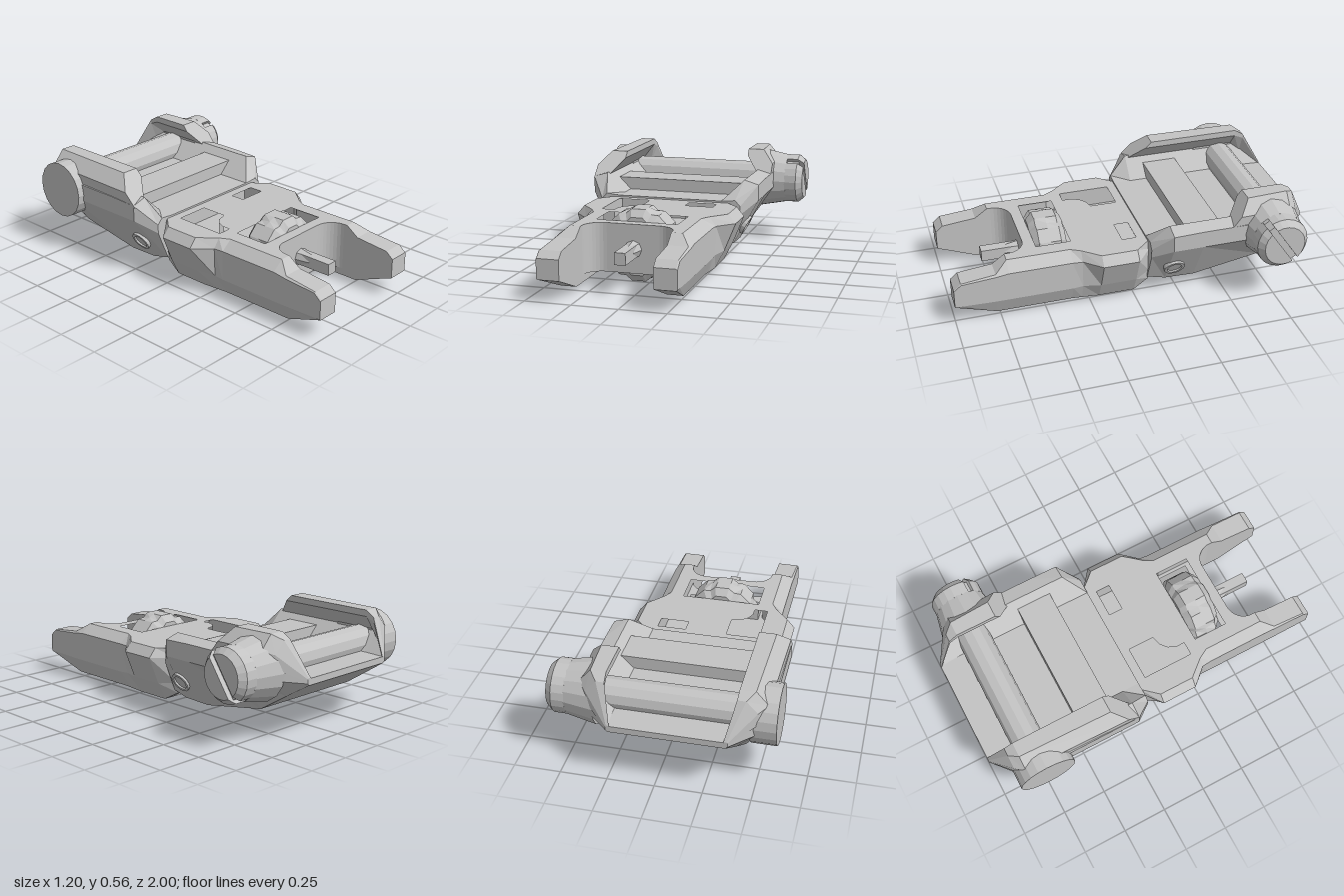
import * as THREE from 'three';

const { cos, sin, PI } = Math;

// Solid skinned over matching cross-sections [z, [[x, y, zOffset], ...]]; sx = -1 mirrors it
function loft(sections, sx = 1) {
  const secs = sections
    .map(([z, p]) => ({ z, p: p.map(([x, y, dz = 0]) => new THREE.Vector3(x * sx, y, z + dz)) }))
    .sort((a, b) => a.z - b.z);
  const area = secs.reduce((s, c) => s + THREE.ShapeUtils.area(c.p), 0);
  if (area < 0) secs.forEach((c) => c.p.reverse());
  const pos = [], idx = [], n = secs[0].p.length;
  secs.forEach((c) => c.p.forEach((v) => pos.push(v.x, v.y, v.z)));
  for (let s = 0; s < secs.length - 1; s++) {
    for (let i = 0; i < n; i++) {
      const a = s * n + i, b = s * n + (i + 1) % n;
      idx.push(a, b, b + n, a, b + n, a + n);
    }
  }
  const last = (secs.length - 1) * n;
  THREE.ShapeUtils.triangulateShape(secs[0].p, []).forEach(([a, b, c]) => idx.push(c, b, a));
  THREE.ShapeUtils.triangulateShape(secs[secs.length - 1].p, [])
    .forEach(([a, b, c]) => idx.push(last + a, last + b, last + c));
  const g = new THREE.BufferGeometry();
  g.setAttribute('position', new THREE.Float32BufferAttribute(pos, 3));
  g.setIndex(idx);
  const flat = g.toNonIndexed();
  flat.computeVertexNormals();
  return flat;
}

// Path in plan (x, z) turned into shape space
function plan(pts, Type = THREE.Shape) {
  return new Type(pts.map(([x, z]) => new THREE.Vector2(x, -z)));
}
function slab(shape, y0, y1) {
  const g = new THREE.ExtrudeGeometry(shape, { depth: y1 - y0, bevelEnabled: false });
  return g.rotateX(-PI / 2).translate(0, y0, 0);
}
const rect = (x0, x1, z0, z1) => [[x0, z0], [x1, z0], [x1, z1], [x0, z1]];

export function createModel() {
  const model = new THREE.Group();
  const metal = new THREE.MeshStandardMaterial({ color: 0xc3c3c3 });
  metal.name = 'light grey metal';
  metal.flatShading = true;
  const body = new THREE.Group();
  body.name = 'foldedSight';
  body.position.x = -0.065;
  model.add(body);
  const add = (name, geo) => {
    const m = new THREE.Mesh(geo, metal);
    m.name = name;
    body.add(m);
    return m;
  };

  // Folding leaf: middle plate with adjuster window, pockets and rounded fork notch
  const notch = [];
  for (let i = 0; i <= 8; i++) {
    const a = (i / 8) * PI / 2;
    notch.push([0.145 + 0.1 * sin(a), 0.68 - 0.1 * cos(a)]);
  }
  const half = [[0.3, -0.09], [0.3, 0.32], [0.25, 0.36], [0.25, 0.68], ...notch.slice().reverse()];
  const outline = [...half, ...half.map(([x, z]) => [-x, z]).reverse()];
  const windowPts = rect(-0.225, 0.225, 0.325, 0.52);
  const top = plan(outline);
  const pocket = [[-0.295, -0.03], [-0.105, -0.03], [-0.105, 0.12], [-0.16, 0.135],
    [-0.195, 0.165], [-0.215, 0.21], [-0.215, 0.26], [-0.295, 0.26]];
  [windowPts, pocket, rect(0.13, 0.295, -0.03, 0.05)].forEach((h) => top.holes.push(plan(h, THREE.Path)));
  add('leafTop', slab(top, 0.23, 0.335));
  const under = plan(outline);
  under.holes.push(plan(windowPts, THREE.Path));
  add('leafFloor', slab(under, 0.07, 0.23));
  add('leafUnderside', slab(plan(rect(-0.3, 0.3, 0, 0.28)), 0.03, 0.075));

  // Side rails that widen at the rear and run forward as fork arms
  const rail = (z, ix, y0, y1, bx, lx, ly, hx, hy, tx) =>
    [z, [[ix, y0], [bx, y0], [lx, ly], [hx, hy], [tx, y1], [ix, y1]]];
  const rails = [
    rail(-0.09, 0.29, 0.08, 0.335, 0.33, 0.34, 0.14, 0.345, 0.285, 0.335),
    rail(0, 0.29, 0.03, 0.335, 0.345, 0.395, 0.13, 0.458, 0.285, 0.415),
    rail(0.2, 0.29, 0.03, 0.335, 0.345, 0.395, 0.13, 0.458, 0.285, 0.415),
    rail(0.295, 0.29, 0.03, 0.335, 0.335, 0.367, 0.125, 0.372, 0.285, 0.335),
    rail(0.35, 0.245, 0.03, 0.335, 0.33, 0.367, 0.12, 0.367, 0.285, 0.305),
    rail(0.7, 0.245, 0.03, 0.335, 0.33, 0.367, 0.12, 0.367, 0.285, 0.305),
    rail(0.77, 0.245, 0.03, 0.285, 0.33, 0.367, 0.12, 0.367, 0.275, 0.355),
    rail(0.96, 0.245, 0.105, 0.265, 0.355, 0.367, 0.125, 0.367, 0.26, 0.36),
    rail(1, 0.245, 0.12, 0.23, 0.36, 0.367, 0.125, 0.367, 0.225, 0.36),
  ];
  add('leftRail', loft(rails));
  add('rightRail', loft(rails, -1));

  // Dimpled elevation wheel
  const wheelRing = (z, r, groove) => {
    const p = [];
    for (let k = 0; k < 8; k++) {
      const a = (k * PI) / 4;
      [[-0.2, 1], [0.2, 1], [PI / 8, groove]].forEach(([d, f]) =>
        p.push([r * f * cos(a + d), 0.2 + r * f * sin(a + d)]));
    }
    return [z, p];
  };
  add('adjustmentWheel', loft([wheelRing(0.327, 0.16, 0.9), wheelRing(0.362, 0.2, 0.92),
    wheelRing(0.424, 0.2, 0.98), wheelRing(0.486, 0.2, 0.92), wheelRing(0.521, 0.16, 0.9)]));

  // Sight post: collar tapering to a square tip
  add('postCollar', new THREE.CylinderGeometry(0.032, 0.052, 0.1, 8)
    .rotateX(PI / 2).translate(0, 0.2, 0.61));
  add('postTip', new THREE.BoxGeometry(0.06, 0.065, 0.2).translate(0, 0.2, 0.69));

  // Clamp base: a trough with a flat floor and sloping inner walls
  const base = (z, by, bx, ox, ly, hy, wx, wy) => {
    const r = [[bx, by], [ox, ly], [ox, hy], [wx, wy], [Math.min(wx - 0.01, 0.305), 0.345]];
    return [z, [...r, ...r.map(([x, y]) => [-x, y]).reverse()]];
  };
  add('clampBase', loft([
    base(-0.08, 0.1, 0.345, 0.415, 0.27, 0.32, 0.385, 0.352),
    base(-0.18, 0.08, 0.355, 0.498, 0.34, 0.43, 0.415, 0.455),
    base(-0.35, 0.075, 0.355, 0.498, 0.34, 0.435, 0.415, 0.455),
    base(-0.73, 0.14, 0.355, 0.498, 0.34, 0.435, 0.415, 0.455),
    base(-0.88, 0.235, 0.33, 0.455, 0.34, 0.42, 0.4, 0.445),
    base(-1, 0.31, 0.3, 0.31, 0.32, 0.335, 0.305, 0.347),
  ]));
  add('recoilLug', new THREE.BoxGeometry(0.75, 0.08, 0.2).translate(0, 0.375, -0.38));

  // Hooked jaws gripping from both sides, front ends cut on a slant
  const hook = [[0.41, 0.44], [0.338, 0.53], [0.338, 0.565], [0.432, 0.565], [0.498, 0.49], [0.498, 0.42]];
  const jaw = (low, high) => [
    [low, hook.map(([x, y]) => [x, y, (high - low) * (y - 0.45) / 0.115])],
    [-0.85, [[0.41, 0.44], [0.338, 0.53], [0.338, 0.565], [0.42, 0.565], [0.485, 0.49], [0.485, 0.42]]],
    [-0.9, [[0.38, 0.4], [0.335, 0.51], [0.335, 0.535], [0.38, 0.535], [0.44, 0.47], [0.44, 0.4]]],
    [-1, [[0.295, 0.33], [0.29, 0.34], [0.29, 0.348], [0.305, 0.348], [0.31, 0.342], [0.31, 0.33]]],
  ];
  add('leftJaw', loft(jaw(-0.53, -0.62)));
  add('rightJaw', loft(jaw(-0.2, -0.32), -1));

  // Round parts lying across the width
  const across = (name, x0, x1, r0, r1, y, z, seg = 16) =>
    add(name, new THREE.CylinderGeometry(r1, r0, x1 - x0, seg)
      .rotateZ(-PI / 2).translate((x0 + x1) / 2, y, z));
  const ky = 0.375, kz = -0.75;
  across('crossBolt', -0.42, 0.42, 0.09, 0.09, ky, -0.765, 12);
  across('boltNut', -0.535, -0.4, 0.16, 0.16, ky, kz, 20);
  across('knobCollar', 0.4, 0.565, 0.178, 0.145, ky, kz);
  across('knobCore', 0.55, 0.635, 0.125, 0.125, ky, kz);

  // Slotted knob head made from two half discs
  const halfDisc = (z, r) => {
    const p = [], a0 = Math.asin(0.017 / r);
    for (let i = 0; i <= 10; i++) {
      const a = a0 + (i / 10) * (PI - 2 * a0);
      p.push([r * cos(a), r * sin(a)]);
    }
    return [z, p];
  };
  for (const turn of [0, PI]) {
    add('knobHead', loft([halfDisc(0.56, 0.145), halfDisc(0.63, 0.145), halfDisc(0.665, 0.115)])
      .rotateZ(turn + 2.18).rotateY(PI / 2).translate(0, ky, kz));
  }

  // Hinge pin ends: raised rims with a sunken centre, square to the sloping walls
  const rim = [[0.042, 0.002], [0.042, 0.014], [0.058, 0.014], [0.058, -0.03]]
    .map(([r, h]) => new THREE.Vector2(r, h)).reverse();
  for (const s of [-1, 1]) {
    const pin = new THREE.Group();
    pin.name = s > 0 ? 'leftHingePin' : 'rightHingePin';
    pin.position.set(s * 0.416, 0.19, -0.21);
    pin.rotation.z = -s * (PI / 2 + 0.5);
    body.add(pin);
    const ring = add('pinRim', new THREE.LatheGeometry(rim, 16));
    const core = add('pinCore', new THREE.CylinderGeometry(0.043, 0.043, 0.03, 16).translate(0, -0.011, 0));
    pin.add(ring, core);
  }
  return model;
}
